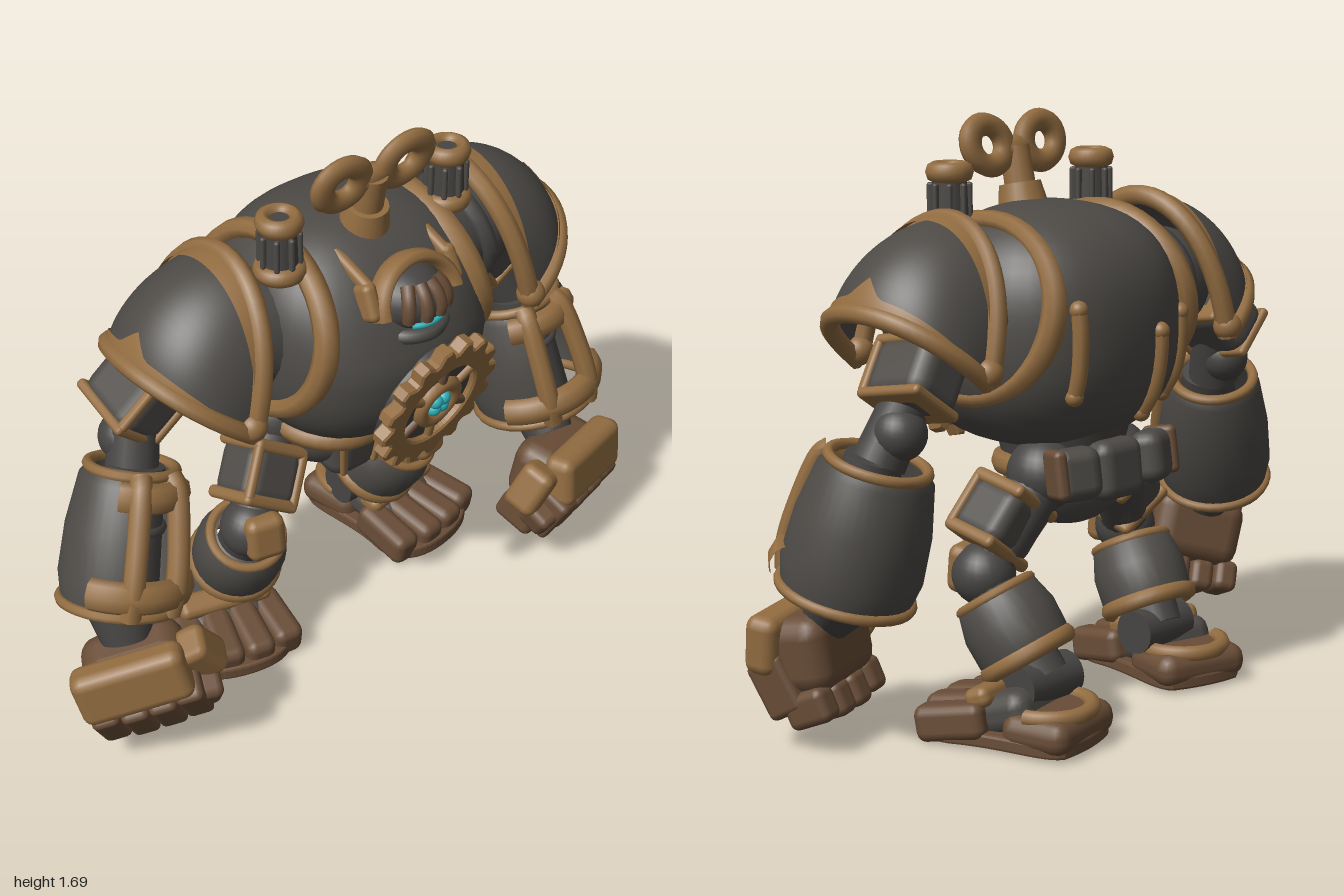
import * as THREE from 'three';
import { RoundedBoxGeometry } from 'three/addons/geometries/RoundedBoxGeometry.js';
import { ParametricGeometry } from 'three/addons/geometries/ParametricGeometry.js';
import { mergeVertices } from 'three/addons/utils/BufferGeometryUtils.js';

const V = (x, y, z) => new THREE.Vector3(x, y, z);
const colour = (name, hex) => Object.assign(new THREE.MeshStandardMaterial({ color: hex }), { name });

export function createModel() {
  const iron = colour('dark iron', 0x4d4a46);
  const shell = colour('dark iron shell', 0x4d4a46);
  shell.side = THREE.DoubleSide;
  const joint = colour('joint grey', 0x474543);
  const bronze = colour('bronze', 0x936d41);
  const trim = colour('bronze trim', 0x936d41);
  trim.side = THREE.DoubleSide;
  const brown = colour('worn brown', 0x694d37);
  const glow = colour('glowing cyan', 0x2fb4bd);
  const model = new THREE.Group();
  const CX = 0.06;

  // Small building helpers
  const add = (name, geo, mat, parent = model, pos = [0, 0, 0], rot = [0, 0, 0]) => {
    const m = new THREE.Mesh(geo, mat);
    m.name = name;
    m.position.set(...pos);
    m.rotation.set(...rot);
    parent.add(m);
    return m;
  };
  const box = (name, size, mat, parent, pos, rot, r = 0.02) =>
    add(name, new RoundedBoxGeometry(...size, 2, Math.min(r, Math.min(...size) * 0.45)), mat, parent, pos, rot);
  const ball = (name, r, mat, parent, pos, scale = [1, 1, 1]) =>
    add(name, new THREE.SphereGeometry(r, 24, 16), mat, parent, pos).scale.set(...scale);
  const tube = (name, pts, r, mat, parent) =>
    add(name, new THREE.TubeGeometry(new THREE.CatmullRomCurve3(pts), 32, r, 8), mat, parent);
  const ring = (name, r, t, mat, parent, y, sy = 1) => {
    add(name, new THREE.TorusGeometry(r, t, 8, 32), mat, parent, [0, y, 0], [Math.PI / 2, 0, 0]).scale.z = sy;
  };
  const group = (name, pos, rot = [0, 0, 0], parent = model) => {
    const g = new THREE.Group();
    g.name = name;
    g.position.set(...pos);
    g.rotation.set(...rot);
    parent.add(g);
    return g;
  };
  // Group centred between a and b whose local -y runs from a to b
  const limb = (name, a, b) => {
    const g = group(name, a.clone().lerp(b, 0.5).toArray());
    g.quaternion.setFromUnitVectors(V(0, -1, 0), b.clone().sub(a).normalize());
    return g;
  };
  const rod = (name, a, b, r1, r2, mat) => {
    const g = limb(name, a, b);
    add(name, new THREE.CylinderGeometry(r1, r2, a.distanceTo(b), 20), mat, g);
    return g;
  };

  // Torso: boxy ellipsoid whose upper front leans back
  const P = 2.5, R = [0.37, 0.345, 0.36], C = [CX + 0.015, 1.09, 0.01];
  const bodyGeo = new THREE.SphereGeometry(1, 48, 32);
  bodyGeo.deleteAttribute('uv');
  bodyGeo.deleteAttribute('normal');
  const pos = bodyGeo.attributes.position;
  for (let i = 0; i < pos.count; i++) {
    const d = [pos.getX(i), pos.getY(i), pos.getZ(i)];
    const k = d.reduce((s, v, j) => s + Math.abs(v / R[j]) ** P, 0) ** (-1 / P);
    const lean = d[2] > 0 ? 1 - 0.28 * Math.max(0, d[1] * k / R[1]) : 1;
    pos.setXYZ(i, d[0] * k, d[1] * k, d[2] * k * lean);
  }
  const body = mergeVertices(bodyGeo, 1e-4);
  body.computeVertexNormals();
  add('torso', body, iron, model, C);
  const backZ = (x, y) => C[2] - R[2] *
    Math.max(0, 1 - Math.abs(x / R[0]) ** P - Math.abs((y - C[1]) / R[1]) ** P) ** (1 / P);
  for (const [x, y0] of [[0.2, 0.94], [-0.1, 0.85], [-0.25, 0.88]]) {
    const pts = [0.24, 0.18, 0.12, 0.06, 0].map(y => V(C[0] + x, y0 + y, backZ(x, y0 + y)));
    tube('backStrip', pts, 0.024, bronze);
    for (const p of [pts[0], pts[4]]) ball('backRivet', 0.026, bronze, model, p.toArray());
  }

  // Wind-up key
  const key = group('windUpKey', [CX, 1.42, 0.1], [0.2, 0, 0]);
  add('keySocket', new THREE.CylinderGeometry(0.06, 0.075, 0.08, 24), bronze, key, [0, 0.015, 0]);
  add('keyStem', new THREE.CylinderGeometry(0.042, 0.046, 0.18, 16), bronze, key, [0, 0.07, 0]);
  for (const s of [-1, 1])
    add('keyLoop', new THREE.TorusGeometry(0.058, 0.033, 10, 28), bronze, key, [s * 0.107, 0.17, 0], [0, 0, s * 0.3]).scale.set(1.15, 1, 0.75);
  ball('keyBridge', 0.06, bronze, key, [0, 0.15, 0], [1.1, 0.7, 0.5]);

  // Chimneys
  for (const s of [-1, 1]) {
    const g = group('chimney', [CX + s * 0.29, 1.45, 0.1]);
    add('chimneyPipe', new THREE.CylinderGeometry(0.047, 0.054, 0.18, 20), joint, g);
    for (let i = 0; i < 8; i++) {
      const a = i * Math.PI / 4;
      box('chimneyFin', [0.016, 0.1, 0.02], iron, g, [Math.sin(a) * 0.053, 0, Math.cos(a) * 0.053], [0, a, 0]);
    }
    ring('chimneyLip', 0.045, 0.022, bronze, g, 0.078, 1.3);
    ring('chimneyFoot', 0.052, 0.022, bronze, g, -0.07, 1.2);
  }

  // Face: visor under a bronze hood
  const face = group('face', [CX + 0.02, 1.25, 0.245], [-0.05, 0.06, 0]);
  ball('visor', 1, joint, face, [0, 0, 0], [0.115, 0.095, 0.125]);
  const visorPoint = (a, t, k) =>
    V(Math.sin(a) * Math.cos(t) * 0.115 * k, Math.sin(t) * 0.095 * k, Math.cos(a) * Math.cos(t) * 0.125 * k);
  for (const a of [-0.66, -0.22, 0.22, 0.66])
    tube('visorBar', [-0.25, 0, 0.25, 0.5, 0.8].map(t => visorPoint(a, t, 0.98)), 0.02, brown, face);
  tube('eyeSlit', [-0.6, -0.3, 0, 0.3, 0.6].map(a => visorPoint(a, -0.42, 1.04)), 0.009, glow, face);
  tube('chin', [-1.5, -0.75, 0, 0.75, 1.5].map(a => visorPoint(a, -0.75, 1.2)), 0.022, iron, face);
  add('hood', new THREE.TorusGeometry(0.132, 0.022, 8, 28, Math.PI), bronze, face, [0, -0.01, 0.05], [-0.35, 0, 0]).scale.set(1, 0.95, 2.2);
  for (const s of [-1, 1]) {
    box('hoodPost', [0.045, 0.11, 0.07], bronze, face, [s * 0.148, 0.04, 0.02], [-0.4, 0, s * 0.05]);
    box('hoodStrap', [0.035, 0.04, 0.2], bronze, face, [s * 0.14, 0.11, -0.06], [0.4, 0, 0]);
  }

  // Chest cog
  const cog = group('chestCog', [CX + 0.045, 0.94, 0.345], [0.24, 0.1, 0]);
  const gear = new THREE.Shape();
  const TEETH = 16;
  for (let i = 0; i < TEETH * 4; i++) {
    const a = (i + 0.5) / (TEETH * 4) * Math.PI * 2, r = i % 4 < 2 ? 0.215 : 0.187;
    gear[i ? 'lineTo' : 'moveTo'](Math.cos(a) * r, Math.sin(a) * r);
  }
  gear.holes.push(new THREE.Path().absarc(0, 0, 0.14, 0, Math.PI * 2, true));
  add('gearRim', new THREE.ExtrudeGeometry(gear, { depth: 0.035, bevelSize: 0.006, bevelThickness: 0.006, bevelSegments: 1, curveSegments: 32 }), bronze, cog);
  add('gearBack', new THREE.CylinderGeometry(0.165, 0.19, 0.1, 32), joint, cog, [0, 0, -0.03], [Math.PI / 2, 0, 0]);
  for (let i = 0; i < 6; i++) {
    const a = Math.PI / 6 + i * Math.PI / 3;
    box('gearSpoke', [0.08, 0.028, 0.03], i % 2 ? brown : bronze, cog, [Math.cos(a) * 0.11, Math.sin(a) * 0.11, 0.022], [0, 0, a]);
  }
  add('hubRing', new THREE.TorusGeometry(0.066, 0.022, 8, 28), bronze, cog, [0, 0, 0.025]);
  for (const x of [-1, 1]) for (const y of [-1, 1])
    ball('coreLobe', 0.022, glow, cog, [x * 0.015, y * 0.015, 0.03]);

  // Pelvis
  ball('pelvis', 0.18, iron, model, [CX, 0.65, -0.07], [1, 0.75, 0.9]);
  add('waist', new THREE.CylinderGeometry(0.2, 0.165, 0.14, 28), joint, model, [CX, 0.76, -0.05]);
  add('belt', new THREE.TorusGeometry(0.172, 0.03, 8, 36), bronze, model, [CX, 0.7, -0.05], [Math.PI / 2 + 0.05, 0, 0]).scale.z = 1.2;
  box('crotchPlate', [0.18, 0.18, 0.2], iron, model, [CX, 0.61, 0.0], [0.15, 0, 0], 0.06);
  for (const s of [-1, 1]) {
    box('crotchTrim', [0.024, 0.16, 0.02], bronze, model, [CX + s * 0.065, 0.62, 0.1], [0.15, 0, s * -0.12]);
    box('rearHipPlate', [0.14, 0.15, 0.1], iron, model, [CX + s * 0.16, 0.71, -0.25], [0.15, -s * 0.4, 0], 0.04);
    box('rearHipTrim', [0.04, 0.14, 0.1], brown, model, [CX + s * 0.22, 0.715, -0.235], [0.15, -s * 0.4, 0], 0.018);
  }
  box('tailPlate', [0.17, 0.17, 0.1], iron, model, [CX, 0.7, -0.25], [0.1, 0, 0], 0.04);

  // Shoulder plates swept as arches fanning out from a low hinge line
  const archPoint = (s, deg, v, k, out) => {
    const f = deg * Math.PI / 180;
    const h = (0.288 + 0.14 * (deg - 38) / 69) * Math.sin(v * Math.PI) ** 0.8 * k;
    return out.set(CX + s * (0.5 + Math.cos(f) * h), 1.01 + Math.sin(f) * h, 0.255 * k * Math.cos(v * Math.PI));
  };
  const patch = (name, s, lo, hi, k, mat) => add(name, new ParametricGeometry((u, v, o) => {
    archPoint(s, lo + (hi(v) - lo) * (s > 0 ? u : 1 - u), v, k, o);
  }, 14, 48), mat);
  const arch = (s, deg, k) => Array.from({ length: 25 }, (_, i) => archPoint(s, deg, i / 24, k, V()));

  for (const s of [-1, 1]) {
    patch('shoulderPlate', s, 38, () => 107, 1, shell);
    patch('shoulderOuterTrim', s, 38, v => 48 + 9 * Math.max(0, 1 - Math.abs(v - 0.5) * 14), 1.02, trim);
    patch('shoulderInnerTrim', s, 94, () => 107, 1.02, trim);
    tube('shoulderOuterRim', arch(s, 40, 0.99), 0.027, bronze);
    tube('shoulderInnerRim', arch(s, 104, 0.99), 0.03, bronze);
    for (const z of [-1, 1]) ball('shoulderRivet', 0.042, bronze, model, [CX + s * 0.5, 1.04, z * 0.25]);
    // Torso opening around the shoulder joint
    const collar = add('shoulderCollar', new THREE.TorusGeometry(0.245, 0.03, 8, 40), bronze, model, [CX + s * 0.275, 1.155, 0]);
    collar.rotation.set(0, Math.PI / 2, s * 0.22, 'ZYX');
    collar.scale.set(1.12, 1, 1.3);
    const socket = rod('shoulderSocket', V(CX + s * 0.24, 1.13, -0.01), V(CX + s * 0.42, 1.17, -0.01), 0.2, 0.15, joint);
    ring('socketRing', 0.145, 0.03, joint, socket, -0.1);
    box('sideClip', [0.045, 0.1, 0.08], bronze, model, [CX + 0.01 + s * 0.365, 0.95, 0.06], [0, 0, s * -0.3]);
  }

  // Arms
  const arms = [
    { s: 1, w: 1, upper: V(0.655, 1.02, -0.08), elbow: V(0.72, 0.88, -0.08), top: V(0.755, 0.8, -0.035), low: V(0.8, 0.44, 0.055), hand: [0.785, 0.25, 0.205], yaw: 0.28, roll: -0.06 },
    { s: -1, w: 0.9, upper: V(-0.59, 1.03, -0.08), elbow: V(-0.635, 0.9, -0.08), top: V(-0.65, 0.83, -0.03), low: V(-0.785, 0.48, 0.07), hand: [-0.795, 0.28, 0.18], yaw: -0.5, roll: 0.28 },
  ];
  for (const { s, w, upper, elbow, top, low, hand, yaw, roll } of arms) {
    const shoulder = V(CX + s * 0.45, 1.16, -0.02);
    ball('shoulderBall', 0.16, joint, model, shoulder.toArray());
    const u = limb('upperArm', shoulder, elbow);
    u.position.copy(upper);
    box('upperArmPlate', [0.175, 0.19, 0.22], iron, u, [0, 0, 0], [0, 0, 0], 0.05);
    for (const y of [-0.08, 0.08]) box('upperArmTrim', [0.18, 0.03, 0.225], bronze, u, [0, y, 0], [0, 0, 0], 0.013);
    for (const x of [-0.075, 0.075]) box('upperArmFrame', [0.028, 0.16, 0.03], bronze, u, [x, 0, 0.1]);
    ball('elbowBall', 0.075, joint, model, elbow.toArray());
    rod('elbowLink', upper, top, 0.065, 0.075, joint);

    // Forearm cuff, open at the front
    const f = limb('forearm', top, low), h = top.distanceTo(low) / 2, a0 = 0.42;
    const cuff = [[0.18, -h], [0.196, -h * 0.6], [0.188, 0.02], [0.16, h * 0.85], [0.135, h]].map(p => new THREE.Vector2(p[0] * w, p[1]));
    add('forearmCuff', new THREE.LatheGeometry(cuff, 36, a0, Math.PI * 2 - 2 * a0), shell, f);
    ring('cuffTopRim', 0.136 * w, 0.016, bronze, f, h);
    ring('cuffLowerRim', 0.182 * w, 0.016, bronze, f, -h);
    add('cuffFrontBand', new THREE.TorusGeometry(0.192 * w, 0.034, 8, 24, 2.2), bronze, f, [0, -h * 0.68, 0], [Math.PI / 2, 0, Math.PI / 2 - 1.1]).scale.z = 1.4;
    add('cuffUpperBand', new THREE.TorusGeometry(0.158 * w, 0.028, 8, 20, 1.6), bronze, f, [0, h * 0.72, 0], [Math.PI / 2, 0, Math.PI / 2 - 0.8]).scale.z = 1.6;
    for (const x of [-1, 1])
      tube('cuffOpeningFrame', cuff.map(p => V(x * Math.sin(a0) * p.x, p.y, Math.cos(a0) * p.x)), 0.032, bronze, f);
    add('forearmPiston', new THREE.CylinderGeometry(0.08, 0.1, h * 2.1, 20), joint, f, [0, 0, 0.02]);
    ring('pistonRing', 0.095, 0.018, iron, f, 0.03);

    // Fist
    rod('wrist', low, V(hand[0], hand[1] + 0.1, hand[2] - 0.06), 0.1, 0.075, joint);
    const fist = group('fist', hand);
    fist.rotation.set(0.15, yaw, roll, 'YXZ');
    box('palm', [0.3, 0.22, 0.17], brown, fist, [0, 0.01, -0.03], [0, 0, 0], 0.06);
    box('handPlate', [0.33, 0.17, 0.1], bronze, fist, [s * 0.015, 0.055, 0.06], [-0.25, 0, 0], 0.035);
    for (let i = 0; i < 4; i++) {
      const x = (i - 1.5) * 0.082, dy = Math.abs(i - 1.4) * 0.012;
      box('fingerUpper', [0.083, 0.17, 0.12], brown, fist, [x, -0.085 + dy, 0.045], [0.35, 0, 0], 0.02);
      box('fingerTip', [0.077, 0.1, 0.14], brown, fist, [x, -0.15 + dy, -0.04], [0.25, 0, 0], 0.025);
    }
    box('thumb', [0.095, 0.16, 0.11], bronze, fist, [-s * 0.185, 0.03, 0.0], [0.2, 0, -s * 0.3], 0.03);
    box('thumbTip', [0.08, 0.1, 0.1], brown, fist, [-s * 0.165, -0.075, 0.04], [0.4, 0, s * 0.35], 0.025);
  }

  // Legs
  const legs = [
    { s: 1, knee: V(0.4, 0.43, -0.07), ankle: V(0.355, 0.15, -0.25), foot: [0.415, 0, -0.19], yaw: 0.2 },
    { s: -1, knee: V(-0.275, 0.43, 0.0), ankle: V(-0.245, 0.15, -0.15), foot: [-0.325, 0, -0.095], yaw: -0.27 },
  ];
  const sole = new THREE.Shape();
  sole.moveTo(-0.11, -0.235);
  sole.quadraticCurveTo(0, -0.26, 0.11, -0.235);
  sole.bezierCurveTo(0.16, -0.2, 0.12, -0.05, 0.165, 0.1);
  sole.bezierCurveTo(0.18, 0.2, 0.1, 0.235, 0, 0.235);
  sole.bezierCurveTo(-0.1, 0.235, -0.18, 0.2, -0.165, 0.1);
  sole.bezierCurveTo(-0.12, -0.05, -0.16, -0.2, -0.11, -0.235);
  const soleGeo = new THREE.ExtrudeGeometry(sole, { depth: 0.025, bevelSize: 0.008, bevelThickness: 0.008, bevelSegments: 2 });
  soleGeo.rotateX(Math.PI / 2).translate(0, 0.033, 0);
  for (const { s, knee, ankle, foot, yaw } of legs) {
    const hip = V(CX + s * 0.15, 0.69, -0.12);
    ball('hipBall', 0.105, joint, model, hip.toArray());
    const t = rod('thigh', hip, knee, 0.085, 0.07, joint);
    const ox = s * 0.03;
    box('thighPlate', [0.19, 0.18, 0.18], iron, t, [ox, -0.01, 0.02], [0, 0, 0], 0.045);
    for (const y of [-0.09, 0.07]) box('thighTrim', [0.2, 0.038, 0.19], bronze, t, [ox, y, 0.02], [0, 0, 0], 0.016);
    for (const x of [-1, 1]) box('thighSideTrim', [0.03, 0.17, 0.03], bronze, t, [ox + x * 0.085, -0.01, 0.1]);
    ball('kneeJoint', 0.09, joint, model, knee.toArray());
    box('kneeCap', [0.12, 0.14, 0.07], bronze, model, [knee.x, knee.y + 0.01, knee.z + 0.07], [-0.1, s * 0.25, 0], 0.03);
    // Shin guard
    const l = limb('shin', knee, ankle);
    const prof = [[0.122, -0.1], [0.136, -0.06], [0.138, 0.02], [0.12, 0.09], [0.09, 0.11]].map(p => new THREE.Vector2(...p));
    add('shinGuard', new THREE.LatheGeometry(prof, 28), shell, l);
    ring('shinLowerTrim', 0.124, 0.022, bronze, l, -0.085, 1.2);
    ring('shinUpperTrim', 0.108, 0.015, bronze, l, 0.1);
    add('shinCore', new THREE.CylinderGeometry(0.075, 0.08, 0.32, 16), joint, l);
    add('ankleJoint', new THREE.CylinderGeometry(0.065, 0.065, 0.2, 20), joint, model, ankle.toArray(), [0, 0, Math.PI / 2]);
    // Foot
    const ft = group('foot', foot, [0, yaw, 0]);
    add('sole', soleGeo, brown, ft);
    box('heel', [0.3, 0.1, 0.21], brown, ft, [0, 0.054, -0.15], [0, 0, 0], 0.045);
    add('heelTrim', new THREE.TorusGeometry(0.12, 0.024, 8, 24, Math.PI), bronze, ft, [0, 0.1, -0.12], [Math.PI / 2, 0, Math.PI]);
    box('instep', [0.25, 0.12, 0.22], iron, ft, [0, 0.08, -0.01], [0.3, 0, 0], 0.05);
    box('instepTrim', [0.29, 0.06, 0.08], bronze, ft, [0, 0.13, 0.03], [0.35, 0, 0], 0.025);
    for (let i = 0; i < 4; i++) {
      const x = (i - 1.5) * 0.09, c = Math.abs(i - 1.5);
      box('toe', [0.094, 0.105, 0.21], brown, ft, [x, 0.061 - c * 0.003, 0.138 - c * 0.022], [0.18, (i - 1.5) * 0.09, 0], 0.03);
    }
  }
  return model;
}
